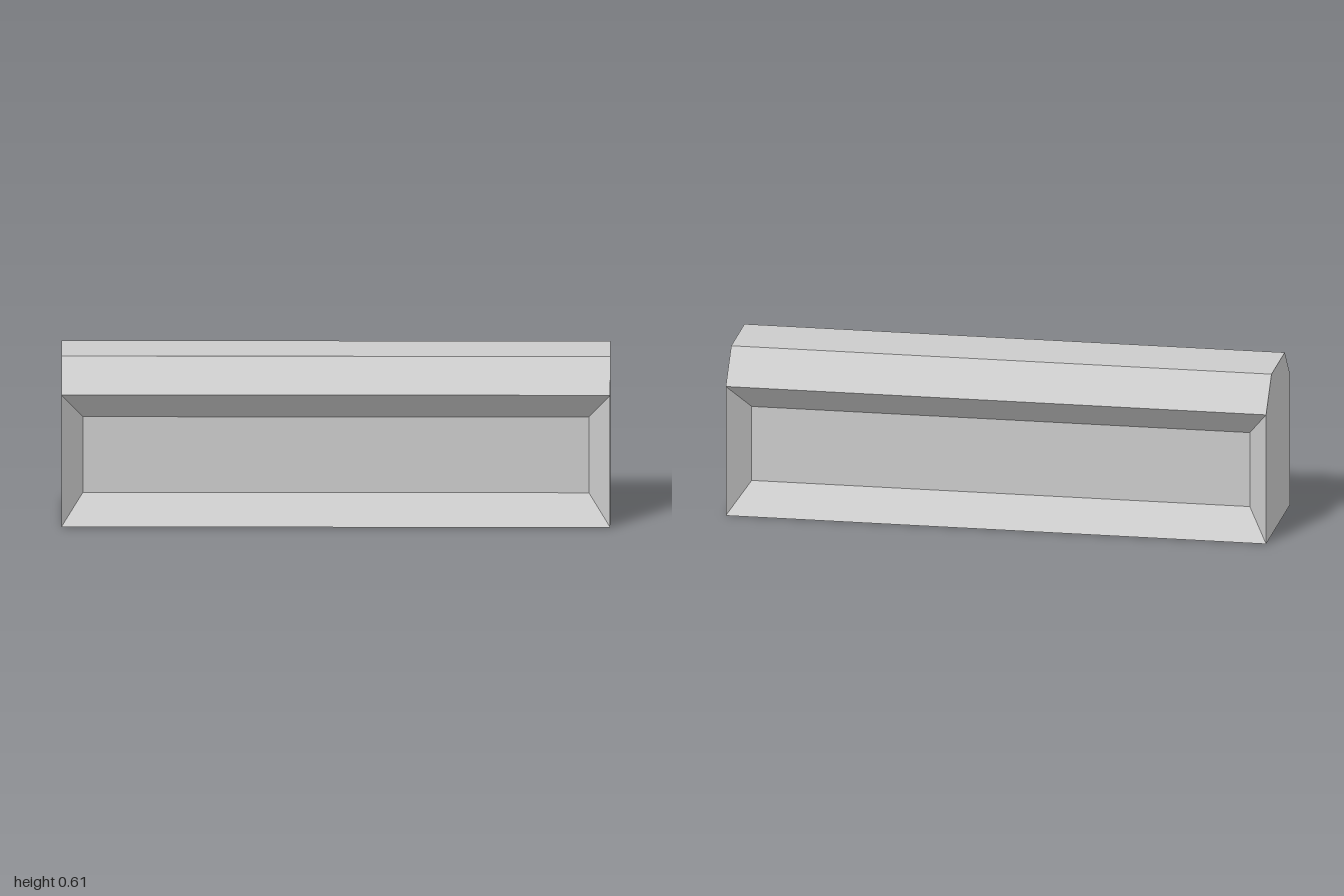
import * as THREE from 'three';

const L = 1, D = 0.25, SHOULDER = 0.492, TOP = 0.613, RIDGE = 0.137;
const INNER_X = 0.922, INNER_LOW = 0.108, INNER_HIGH = 0.39, DEPTH = 0.1;

// Flat four-sided faces, corners counter-clockwise from outside
function quads(list) {
  const pos = list.flatMap(([a, b, c, d]) => [a, b, c, a, c, d].flat());
  const geo = new THREE.BufferGeometry();
  geo.setAttribute('position', new THREE.Float32BufferAttribute(pos, 3));
  geo.computeVertexNormals();
  return geo;
}

// Rectangle loop, counter-clockwise from the front
const rect = (x, low, high, z) => [[-x, low, z], [x, low, z], [x, high, z], [-x, high, z]];

// Strip along x between two profile points [z, y]
const strip = ([z0, y0], [z1, y1]) => [[-L, y0, z0], [L, y0, z0], [L, y1, z1], [-L, y1, z1]];

export function createModel() {
  const group = new THREE.Group();
  const material = new THREE.MeshStandardMaterial({ color: 0xcccccc, flatShading: true });
  const add = (name, geo) => {
    const mesh = new THREE.Mesh(geo, material);
    mesh.name = name;
    group.add(mesh);
    return mesh;
  };

  // Chamfered top and flat base
  const profile = [[D, SHOULDER], [RIDGE, TOP], [-RIDGE, TOP], [-D, SHOULDER]];
  add('chamferedTop', quads([0, 1, 2].map(i => strip(profile[i], profile[i + 1]))));
  add('base', quads([strip([-D, 0], [D, 0])]));

  // Recessed panel with sloping sides, front and back
  const outer = rect(L, 0, SHOULDER, D);
  const inner = rect(INNER_X, INNER_LOW, INNER_HIGH, D - DEPTH);
  const slopes = outer.map((p, i) => {
    const j = (i + 1) % 4;
    return [p, outer[j], inner[j], inner[i]];
  });
  const panel = quads([...slopes, inner]);
  add('frontRecess', panel);
  add('backRecess', panel).rotation.y = Math.PI;

  // Flat ends
  const outline = [[D, 0], ...profile, [-D, 0]].map(([z, y]) => new THREE.Vector2(z, y));
  const end = new THREE.ShapeGeometry(new THREE.Shape(outline));
  for (const [name, side] of [['leftEnd', 1], ['rightEnd', -1]]) {
    const mesh = add(name, end);
    mesh.position.x = side * L;
    mesh.rotation.y = side * Math.PI / 2;
  }
  return group;
}
